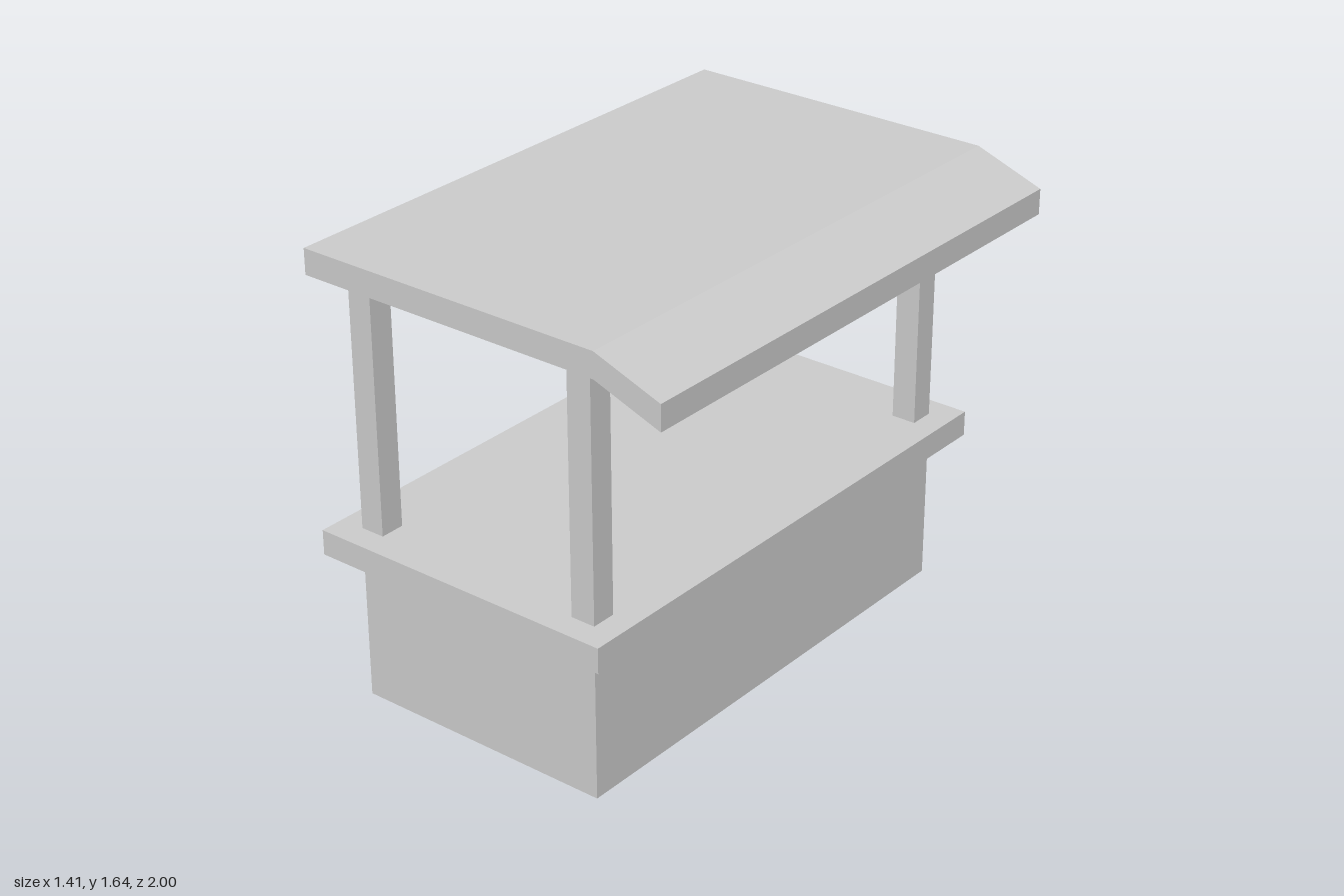
import * as THREE from 'three';

export function createModel() {
  const group = new THREE.Group();
  const material = new THREE.MeshStandardMaterial({ color: 0xcccccc, flatShading: true });

  // Box given by its x, y and z limits
  function addBox(name, [x0, x1], [y0, y1], [z0, z1]) {
    const mesh = new THREE.Mesh(new THREE.BoxGeometry(x1 - x0, y1 - y0, z1 - z0), material);
    mesh.position.set((x0 + x1) / 2, (y0 + y1) / 2, (z0 + z1) / 2);
    mesh.name = name;
    group.add(mesh);
  }

  const u = 1 / 11; // thickness of slabs and posts
  const left = -0.617, right = 0.367; // body limits in x

  // Stall body and overhanging counter
  addBox('base', [left, right], [0, 6 * u], [-10 * u, 10 * u]);
  addBox('counter', [left - u, right + u], [6 * u, 7 * u], [-1, 1]);

  // Four corner posts
  for (const x of [left, right - u]) {
    for (const z of [-10 * u, 9 * u]) {
      addBox('post', [x, x + u], [7 * u, 17 * u], [z, z + u]);
    }
  }

  // Flat roof with a sloping awning on the +x side
  const a = left - u, b = right + u, c = 0.707;
  const profile = new THREE.Shape([
    [a, 17 * u], [b, 17 * u], [c, 16 * u],
    [c, 17 * u], [b, 18 * u], [a, 18 * u],
  ].map(([x, y]) => new THREE.Vector2(x, y)));
  const roof = new THREE.Mesh(
    new THREE.ExtrudeGeometry(profile, { depth: 2, bevelEnabled: false }), material);
  roof.position.z = -1;
  roof.name = 'roof';
  group.add(roof);

  return group;
}
